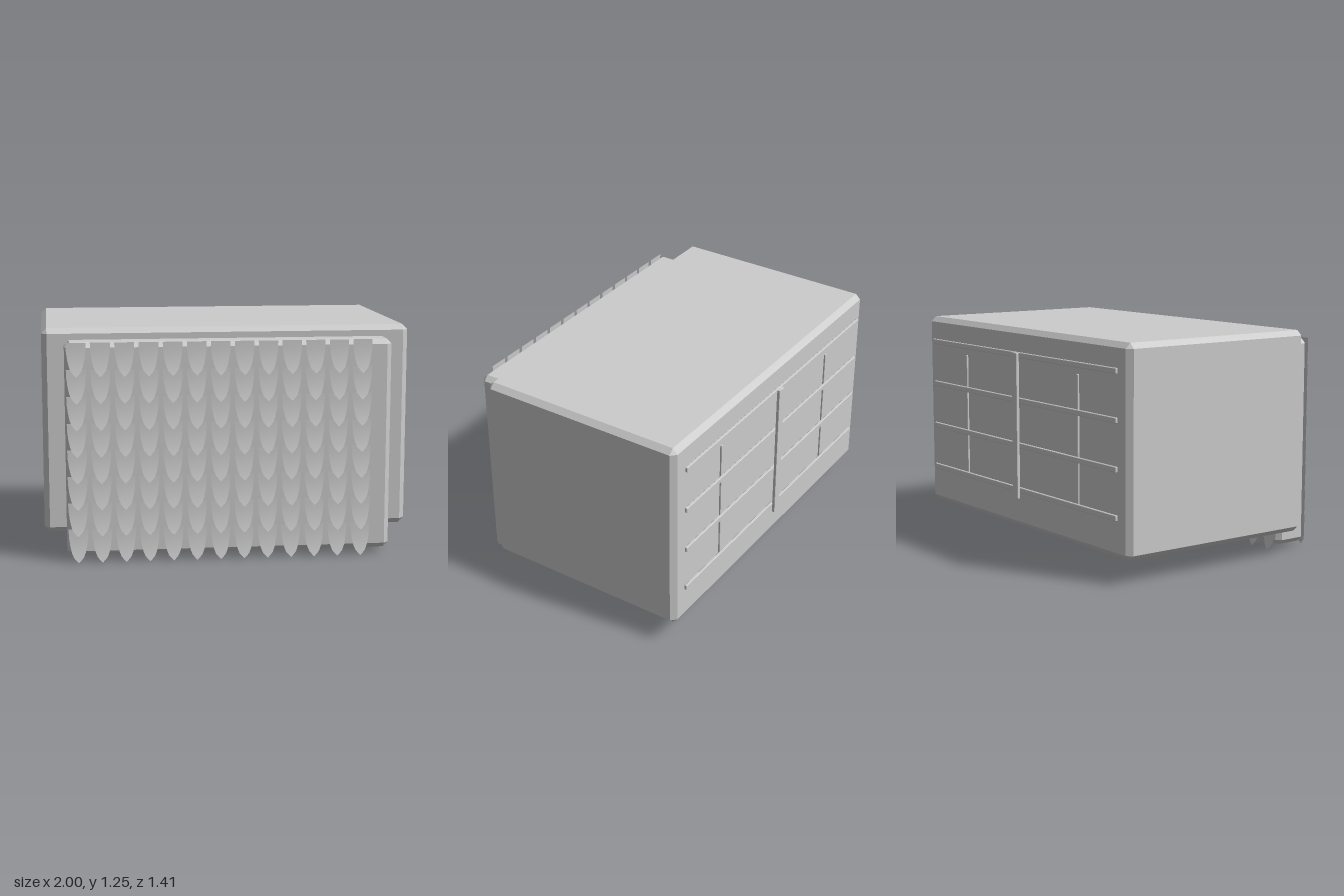
import * as THREE from 'three';
import { ConvexGeometry } from 'three/addons/geometries/ConvexGeometry.js';

const material = new THREE.MeshStandardMaterial({ color: 0xcccccc, flatShading: true });
const thinMaterial = new THREE.MeshStandardMaterial({ color: 0xcccccc, side: THREE.DoubleSide });

// Box with chamfered edges, given by its lower and upper corners
function chamferBox(name, min, max, c) {
  const half = max.map((v, i) => (v - min[i]) / 2);
  const points = [];
  for (const sx of [-1, 1]) for (const sy of [-1, 1]) for (const sz of [-1, 1]) {
    const s = [sx, sy, sz];
    for (let full = 0; full < 3; full++) {
      points.push(new THREE.Vector3(...s.map((d, i) => d * (half[i] - (i === full ? 0 : c)))));
    }
  }
  const mesh = new THREE.Mesh(new ConvexGeometry(points), material);
  mesh.position.set(...min.map((v, i) => (v + max[i]) / 2));
  mesh.name = name;
  return mesh;
}

// Thin pointed scale with its tip at y = 0, curling outward toward the tip
function scaleGeometry() {
  const length = 0.18;
  // [distance from root 0..1, half width]
  const outline = [[0, 0.053], [0.25, 0.051], [0.5, 0.045], [0.7, 0.037], [0.84, 0.027], [0.93, 0.013], [1, 0]];
  const geometry = new THREE.PlaneGeometry(1, 1, 2, outline.length - 1);
  const p = geometry.attributes.position;
  for (let i = 0; i < p.count; i++) {
    const [t, w] = outline[Math.floor(i / 3)];
    p.setXYZ(i, ((i % 3) - 1) * w, length * (1 - t), 0.006 + 0.027 * t * t);
  }
  geometry.computeVertexNormals();
  return geometry;
}

export function createModel() {
  const model = new THREE.Group();

  // Main body and the slab set into its front
  model.add(chamferBox('body', [-1, 0.13, -0.665], [1, 1.247, 0.53], 0.029));
  model.add(chamferBox('frontPanel', [-0.88, 0.03, 0.475], [0.88, 1.185, 0.672], 0.027));

  // Overlapping rows of scales on the front of the panel
  const geometry = scaleGeometry();
  const columns = 13, rows = 8;
  const scales = new THREE.Group();
  scales.name = 'frontScales';
  const rearScales = new THREE.Group();
  rearScales.name = 'rearScales';
  for (let c = 0; c < columns; c++) {
    const x = -0.82 + c * 0.128;
    for (let r = 0; r < rows; r++) {
      const scale = new THREE.Mesh(geometry, thinMaterial);
      scale.name = 'scale';
      scale.position.set(x, r * 0.1437, 0.672);
      scales.add(scale);
    }
    // Lowest row repeated behind the panel, under the body
    const rear = new THREE.Mesh(geometry, thinMaterial);
    rear.name = 'rearScale';
    rear.position.set(x, 0, 0.475);
    rear.rotation.y = Math.PI;
    rearScales.add(rear);
  }
  model.add(scales, rearScales);

  // Rack on the back: rails, centre strip and two slim uprights
  const rack = new THREE.Group();
  rack.name = 'backRack';
  for (let i = 0; i < 4; i++) {
    const y = 0.347 + i * 0.252;
    rack.add(chamferBox('rail', [-0.918, y - 0.015, -0.689], [0.918, y + 0.015, -0.674], 0.003));
  }
  rack.add(chamferBox('centreStrip', [-0.025, 0.3, -0.705], [0.025, 1.115, -0.687], 0.002));
  for (const x of [-0.56, 0.56]) {
    rack.add(chamferBox('upright', [x - 0.008, 0.325, -0.675], [x + 0.008, 1.05, -0.66], 0.002));
  }
  model.add(rack);

  return model;
}
